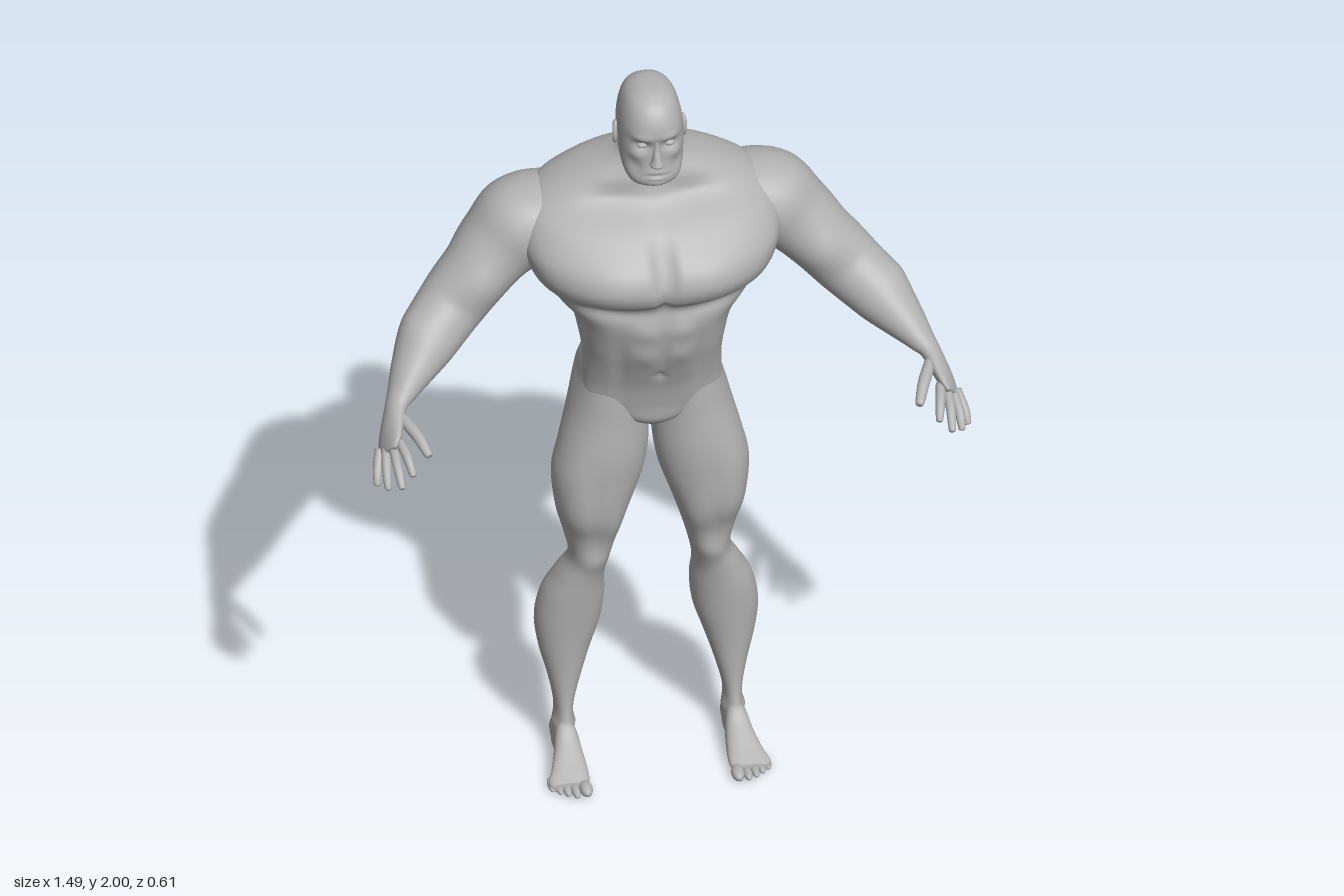
import * as THREE from 'three';

const skin = new THREE.MeshStandardMaterial({ color: 0xb2b2b2 });
skin.name = 'clay grey';
const V = (x, y, z) => new THREE.Vector3(x, y, z);

// Smoothly interpolate rows of numbers (Catmull-Rom on each column)
function refine(rows, steps) {
  const out = [];
  const at = i => rows[Math.max(0, Math.min(rows.length - 1, i))];
  for (let i = 0; i < rows.length - 1; i++) {
    const [a, b, c, d] = [at(i - 1), at(i), at(i + 1), at(i + 2)];
    for (let s = 0; s < steps; s++) {
      const t = s / steps;
      out.push(b.map((_, k) => {
        const cubic = 3 * (b[k] - c[k]) + d[k] - a[k];
        const square = 2 * a[k] - 5 * b[k] + 4 * c[k] - d[k];
        return b[k] + 0.5 * t * (c[k] - a[k] + t * (square + t * cubic));
      }));
    }
  }
  out.push(at(rows.length));
  return out;
}

// Closed skin over superellipse rings { c: centre, u, v: half axes }
function loft(rings, sides = 32, power = 2) {
  const first = rings[0], last = rings[rings.length - 1], mid = rings[rings.length >> 1];
  const flip = mid.u.clone().cross(mid.v).dot(last.c.clone().sub(first.c)) < 0 ? -1 : 1;
  const pos = [], index = [];
  for (const { c, u, v } of rings) {
    for (let i = 0; i < sides; i++) {
      const a = i / sides * Math.PI * 2, e = 2 / power;
      const ca = Math.sign(Math.cos(a)) * Math.abs(Math.cos(a)) ** e;
      const sa = flip * Math.sign(Math.sin(a)) * Math.abs(Math.sin(a)) ** e;
      pos.push(...c.clone().addScaledVector(u, ca).addScaledVector(v, sa).toArray());
    }
  }
  const n = rings.length * sides;
  pos.push(...first.c.toArray(), ...last.c.toArray());
  for (let i = 0; i < sides; i++) {
    const j = (i + 1) % sides;
    for (let r = 0; r < n - sides; r += sides) {
      index.push(r + i, r + j, r + sides + i, r + j, r + sides + j, r + sides + i);
    }
    index.push(n, j, i, n + 1, n - sides + i, n - sides + j);
  }
  const g = new THREE.BufferGeometry();
  g.setAttribute('position', new THREE.Float32BufferAttribute(pos, 3));
  g.setIndex(index);
  g.computeVertexNormals();
  return g;
}

// Rows [y, xMin, xMax, zFront, zBack] stacked vertically
const column = (rows, steps, sides, power) => loft(refine(rows, steps).map(([y, x0, x1, zf, zb]) => ({
  c: V((x0 + x1) / 2, y, (zf + zb) / 2), u: V((x1 - x0) / 2, 0, 0), v: V(0, 0, (zf - zb) / 2),
})), sides, power);

// Rows [x, y, z, thickness, width] swept along their own path
function limb(rows, steps, sides) {
  const f = refine(rows, steps);
  return loft(f.map((r, i) => {
    const a = f[Math.max(0, i - 1)], b = f[Math.min(f.length - 1, i + 1)];
    const t = V(b[0] - a[0], b[1] - a[1], b[2] - a[2]).normalize();
    const w = V(0, 0, 1).addScaledVector(t, -t.z).normalize();
    return { c: V(r[0], r[1], r[2]), u: t.clone().cross(w).multiplyScalar(r[3]), v: w.multiplyScalar(r[4]) };
  }), sides);
}

// Push soft muscles out or grooves in: [x, y, z, rx, ry, rz, amount], same on both sides
function sculpt(g, bumps) {
  const p = g.attributes.position, n = g.attributes.normal;
  for (let i = 0; i < p.count; i++) {
    let d = 0;
    for (const [x, y, z, rx, ry, rz, k] of bumps) {
      const dx = (Math.abs(p.getX(i)) - x) / rx, dy = (p.getY(i) - y) / ry, dz = (p.getZ(i) - z) / rz;
      d += k * Math.exp(-(dx * dx + dy * dy + dz * dz));
    }
    p.setXYZ(i, p.getX(i) + n.getX(i) * d, p.getY(i) + n.getY(i) * d, p.getZ(i) + n.getZ(i) * d);
  }
  g.computeVertexNormals();
  return g;
}

const blob = (x, y, z, rx, ry, rz) => new THREE.SphereGeometry(1, 20, 14).scale(rx, ry, rz).translate(x, y, z);

export function createModel() {
  const model = new THREE.Group();
  model.name = 'muscularFigure';
  const add = (name, g) => {
    const m = new THREE.Mesh(g, skin);
    m.name = name;
    model.add(m);
  };
  const pair = (name, g) => {
    add('left' + name, g);
    const h = g.clone().scale(-1, 1, 1), ix = h.index.array;
    for (let i = 0; i < ix.length; i += 3) [ix[i], ix[i + 1]] = [ix[i + 1], ix[i]];
    h.computeVertexNormals();
    add('right' + name, h);
  };

  // Torso with neck, from the top down: [y, half width, front, back]
  const torso = [
    [1.84, .06, -.06, -.16], [1.8, .075, -.05, -.168], [1.775, .115, -.045, -.215], [1.75, .17, -.04, -.25],
    [1.72, .225, -.033, -.272], [1.685, .275, -.012, -.288], [1.64, .31, .06, -.3], [1.58, .322, .122, -.305],
    [1.53, .312, .143, -.305], [1.49, .295, .136, -.302], [1.46, .272, .115, -.297], [1.42, .238, .113, -.285],
    [1.37, .2, .112, -.265], [1.29, .18, .092, -.225], [1.23, .172, .066, -.188], [1.17, .172, .04, -.17],
    [1.1, .165, .02, -.15], [1.05, .09, .01, -.13], [1.02, .03, -.02, -.1],
  ];
  add('torso', sculpt(column(torso.map(([y, w, f, b]) => [y, -w, w, f, b]), 6, 112, 2.3), [
    [0, 1.57, .14, .016, .09, .09, -.028], // breastbone
    [.12, 1.54, .13, .09, .06, .08, .012], // chest
    [.15, 1.445, .1, .12, .02, .08, -.012], // below chest
    [0, 1.32, .1, .012, .12, .06, -.007], // belly line
    [.045, 1.39, .11, .03, .03, .05, .006], [.045, 1.31, .09, .03, .03, .05, .006],
    [.1, 1.28, .06, .02, .12, .06, -.007],
    [0, 1.22, .065, .012, .012, .03, -.008], // navel
    [0, 1.5, -.3, .028, .24, .1, -.03], // spine
    [.13, 1.6, -.3, .06, .08, .06, .008], // shoulder blade
    [.17, 1.5, -.28, .08, .03, .06, -.008],
    [.2, 1.43, -.22, .06, .07, .08, .014], // back muscle
    [.06, 1.27, -.2, .035, .08, .05, .008],
    [.1, 1.71, -.02, .07, .02, .05, -.01], // above collar bone
  ]));

  // Legs from buttock to heel
  const leg = [
    [1.235, .06, .12, -.06, -.14], [1.215, .025, .155, -.015, -.185], [1.18, .008, .174, .008, -.214],
    [1.13, .002, .186, .014, -.23], [1.05, .003, .202, .016, -.217], [.95, .006, .228, .02, -.192],
    [.865, .02, .245, .017, -.187], [.76, .055, .236, .008, -.18], [.68, .08, .216, -.02, -.171],
    [.6, .1, .201, -.034, -.165], [.535, .11, .23, -.045, -.188], [.47, .107, .262, -.053, -.212],
    [.39, .115, .278, -.062, -.22], [.31, .14, .27, -.07, -.205], [.23, .165, .25, -.075, -.178],
    [.15, .185, .235, -.075, -.164], [.09, .188, .234, -.065, -.168], [.05, .186, .238, -.05, -.182],
    [.015, .188, .238, -.05, -.184], [.004, .195, .23, -.06, -.175],
  ];
  pair('Leg', sculpt(column(leg, 5, 48, 2.1), [
    [.1, .7, 0, .03, .06, .06, .01], [.2, .8, .01, .04, .14, .05, .007], // thigh muscles
    [.15, .78, .02, .012, .12, .05, -.005],
    [.15, .61, -.03, .035, .03, .03, .008], // kneecap
    [.15, .6, -.165, .04, .04, .03, -.008], // back of knee
    [.19, .36, -.22, .014, .1, .04, -.006], // calf split
    [.215, .09, -.11, .06, .018, .025, .008], // ankle bones
    [.2, 1.15, -.1, .04, .05, .05, -.008], // hip hollow
  ]));

  // Feet, heel to toes: [z, xIn, xOut, top]
  const foot = [
    [-.186, .2, .226, .04], [-.17, .19, .236, .065], [-.12, .187, .24, .09], [-.07, .183, .242, .108],
    [-.03, .178, .25, .082], [.02, .174, .265, .052], [.05, .175, .276, .036], [.07, .185, .268, .026],
  ];
  pair('Foot', loft(refine(foot, 5).map(([z, a, b, h]) => ({
    c: V((a + b) / 2, h / 2, z), u: V((b - a) / 2, 0, 0), v: V(0, h / 2, 0),
  })), 32, 2.4));
  [[.189, .018, .095], [.214, .012, .093], [.234, .0115, .083], [.252, .011, .07], [.269, .0105, .055]]
    .forEach(([x, r, z], i) => pair('Toe' + (i + 1), blob(x, r * .85, z - .012, r * .9, r * .85, .03)));

  // Arms from shoulder to knuckles
  const arm = [
    [.16, 1.64, -.15, .04, .07], [.24, 1.612, -.157, .09, .115], [.31, 1.575, -.157, .116, .125],
    [.37, 1.525, -.145, .1, .11], [.43, 1.465, -.12, .09, .096], [.49, 1.4, -.095, .086, .084],
    [.535, 1.36, -.06, .08, .08], [.575, 1.325, -.02, .071, .074], [.615, 1.29, .03, .052, .057],
    [.645, 1.262, .07, .035, .042], [.665, 1.243, .098, .025, .034], [.682, 1.215, .14, .022, .043],
    [.695, 1.192, .178, .017, .049], [.702, 1.178, .202, .009, .038],
  ];
  pair('Arm', sculpt(limb(arm, 6, 40), [
    [.43, 1.47, -.03, .05, .05, .04, .008], // biceps
    [.4, 1.46, -.23, .07, .06, .05, .01], // triceps
    [.47, 1.5, -.14, .03, .03, .06, -.008], // below shoulder cap
    [.6, 1.385, -.04, .04, .04, .05, .008], // forearm
  ]));

  // Fingers and thumb: base, middle joint, tip
  [['Thumb', .66, 1.235, .135, .632, 1.222, .2, .61, 1.195, .258],
    ['IndexFinger', .674, 1.205, .195, .664, 1.193, .25, .655, 1.16, .287],
    ['MiddleFinger', .69, 1.192, .19, .689, 1.17, .255, .685, 1.135, .3],
    ['RingFinger', .705, 1.178, .18, .713, 1.152, .235, .715, 1.115, .27],
    ['LittleFinger', .719, 1.165, .167, .731, 1.135, .208, .736, 1.104, .233],
  ].forEach(([name, a, b, c, d, e, f, x, y, z]) => {
    const r = name === 'Thumb' ? .015 : .012, s = .12;
    pair(name, limb([
      [a, b, c, r, r], [d, e, f, r, r], [x + (d - x) * s, y + (e - y) * s, z + (f - z) * s, r * .75, r * .75],
      [x, y, z, r * .25, r * .25],
    ], 5, 14));
  });

  // Head from crown to jaw: [y, half width, front, back]
  const head = [
    [2, .008, -.08, -.11], [1.996, .03, -.05, -.145], [1.98, .054, -.018, -.175], [1.955, .068, .004, -.196],
    [1.92, .077, .016, -.205], [1.88, .081, .012, -.2], [1.84, .08, .01, -.178], [1.8, .076, .012, -.145],
    [1.775, .068, .012, -.115], [1.76, .056, .004, -.085], [1.754, .035, -.01, -.065],
  ];
  add('head', sculpt(column(head.map(([y, w, f, b]) => [y, -w, w, f, b]), 6, 96, 2.35), [
    [.035, 1.878, .01, .02, .013, .03, -.012], // eye sockets
    [.035, 1.903, .01, .03, .01, .03, .005], // brow
    [.05, 1.85, 0, .018, .015, .03, .004], // cheekbones
    [.055, 1.815, 0, .02, .02, .03, -.006],
    [0, 1.792, .012, .025, .003, .03, -.005], // mouth line
    [0, 1.8, .012, .025, .006, .03, .004], [0, 1.785, .012, .022, .006, .03, .004],
    [0, 1.768, .01, .025, .01, .03, .005], // chin
  ]));
  add('nose', column([
    [1.895, -.006, .006, .014, -.01], [1.87, -.009, .009, .018, -.01], [1.84, -.013, .013, .03, -.01],
    [1.828, -.018, .018, .034, -.01], [1.82, -.014, .014, .024, -.01],
  ], 4, 24, 2));
  pair('Eye', blob(.034, 1.878, -.006, .013, .008, .011));
  const ear = new THREE.TorusGeometry(.018, .006, 10, 24).scale(.75, 1.4, 1).rotateY(Math.PI / 2 + .25);
  pair('EarRim', ear.translate(.084, 1.86, -.1));
  pair('EarLobe', blob(.08, 1.855, -.1, .008, .026, .014));

  return model;
}
